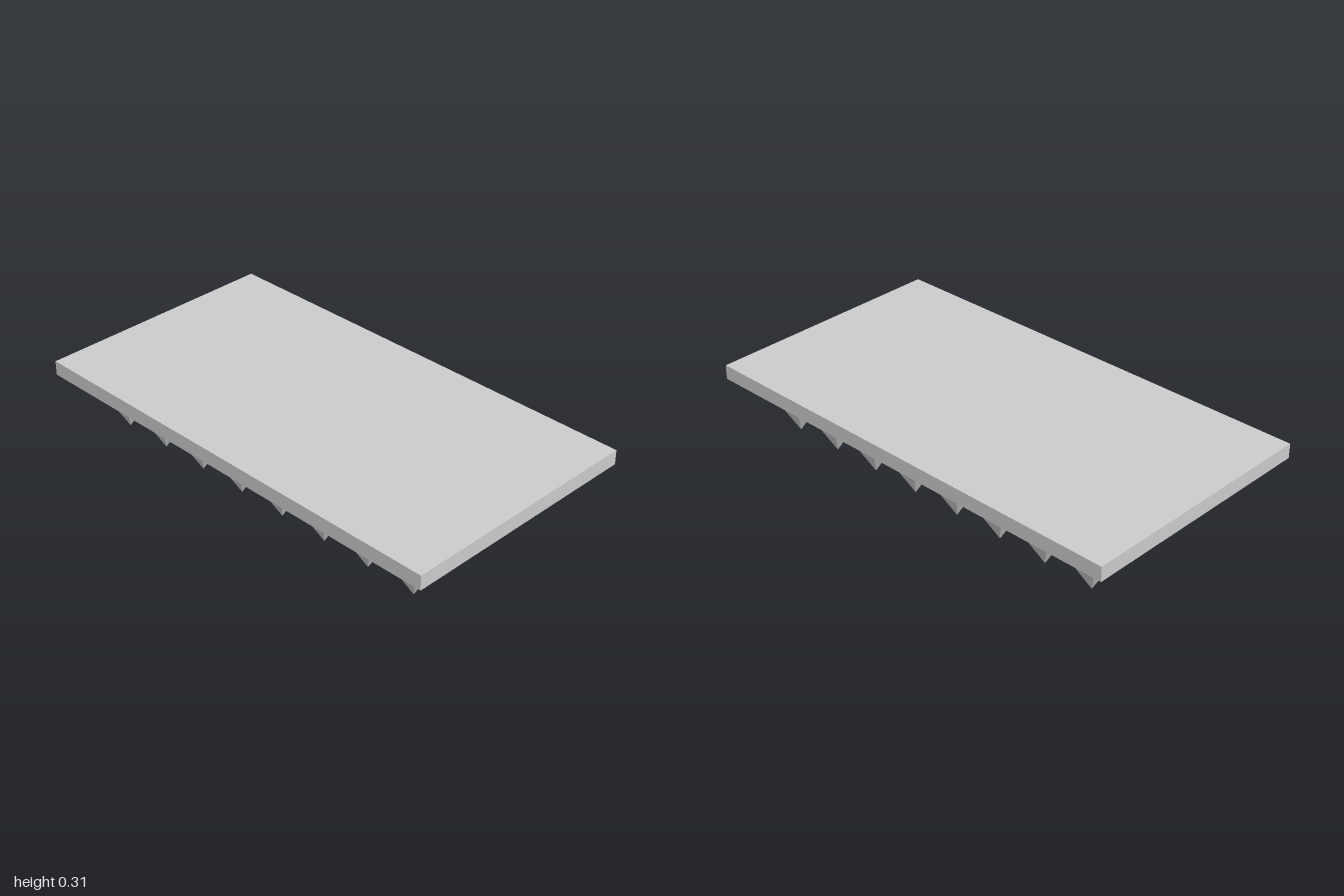
import * as THREE from 'three';

export function createModel() {
  const group = new THREE.Group();
  const material = new THREE.MeshStandardMaterial({ color: 0xcccccc, flatShading: true });

  const plateBottom = 0.242, plateTop = 0.305;
  const pitch = 0.227, columns = 8, rows = 4;

  // Flat rectangular plate
  const thickness = plateTop - plateBottom;
  const plate = new THREE.Mesh(new THREE.BoxGeometry(2, thickness, 1.08), material);
  plate.name = 'plate';
  plate.position.y = plateBottom + thickness / 2;
  group.add(plate);

  // Square pyramid pointing down, its base flush with the plate's underside
  const spikeGeometry = new THREE.ConeGeometry(pitch / Math.SQRT2, plateBottom, 4)
    .rotateY(Math.PI / 4)
    .rotateX(Math.PI)
    .translate(0, plateBottom / 2, 0);

  // Grid of touching spikes
  const spikes = new THREE.Group();
  spikes.name = 'spikes';
  for (let i = 0; i < columns; i++) {
    for (let j = 0; j < rows; j++) {
      const spike = new THREE.Mesh(spikeGeometry, material);
      spike.name = 'spike';
      spike.position.set((i - (columns - 1) / 2) * pitch, 0, (j - (rows - 1) / 2) * pitch);
      spikes.add(spike);
    }
  }
  group.add(spikes);

  return group;
}
